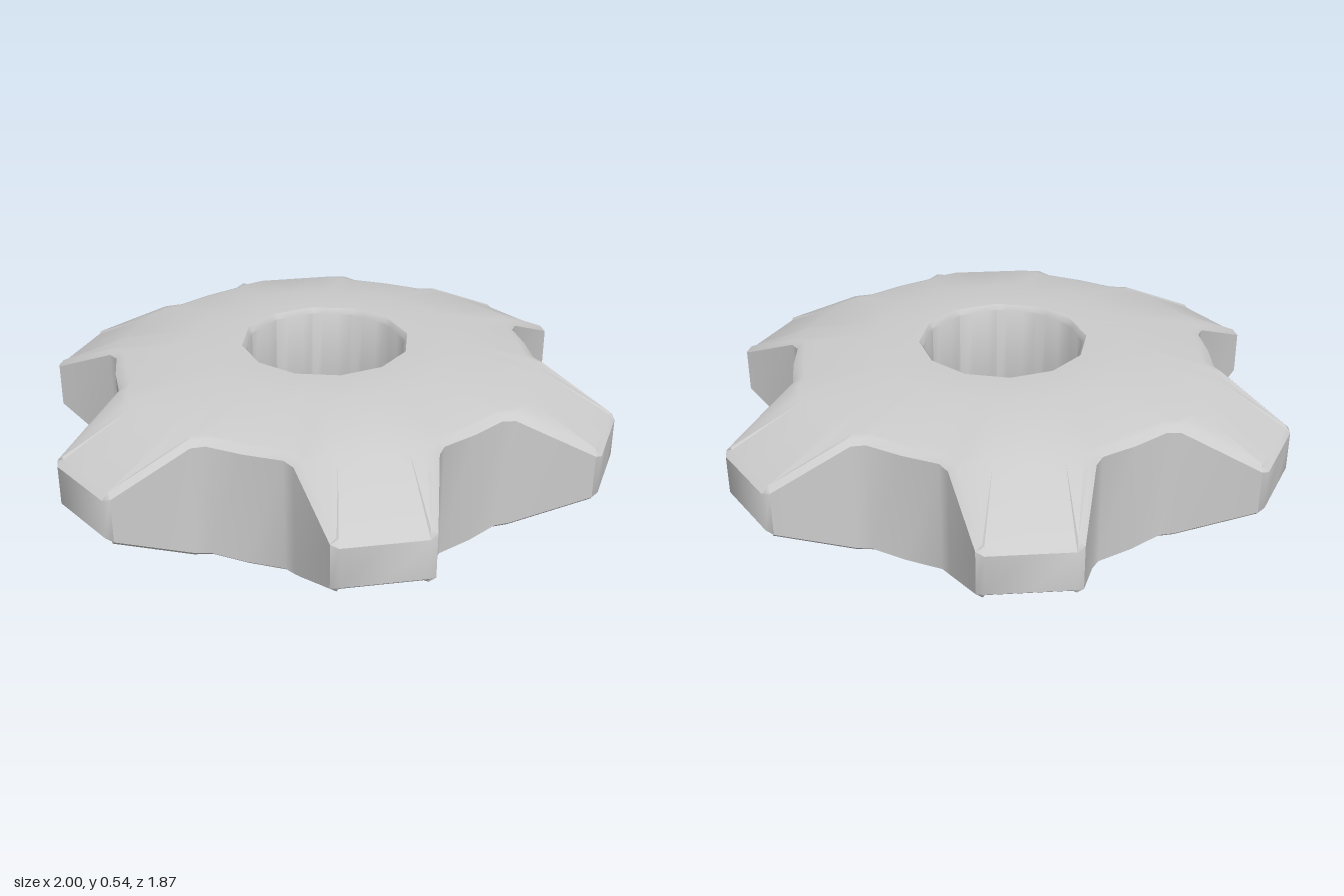
import * as THREE from 'three';
import { toCreasedNormals } from 'three/addons/utils/BufferGeometryUtils.js';

const TEETH = 6;
const MID_Y = 0.27;

// Half a tooth from its axis to the middle of the gap:
// rim [along, across, half height] and the shoulder on the face [along, across, half height]
const HALF = [
  { rim: [1.0, 0, 0.068], face: [0.73, 0, 0.212] },
  { rim: [1.0, 0.135, 0.068], face: [0.73, 0.09, 0.212] },
  { rim: [0.985, 0.16, 0.076], face: [0.73, 0.13, 0.212] },
  { rim: [0.73, 0.225, 0.192], face: [0.7, 0.19, 0.214] },
  { rim: [0.69, 0.25, 0.195], face: [0.66, 0.225, 0.217] },
  { rim: [0.632, 0.365, 0.195], face: [0.6, 0.346, 0.217] },
];

// Point at the given angle on a twelve-sided ring
function onRing(angle, radius, h) {
  const step = Math.PI / 6;
  const local = angle - Math.floor(angle / step) * step - step / 2;
  const r = (radius * Math.cos(step / 2)) / Math.cos(local);
  return [r * Math.cos(angle), h, r * Math.sin(angle)];
}

// Turn a tooth-space point to its place round the wheel
function turn([u, v, h], angle) {
  const c = Math.cos(angle), s = Math.sin(angle);
  return [u * c - v * s, h, u * s + v * c];
}

function buildWheel() {
  // Mirror the half tooth, then repeat it round the wheel
  const flip = ([u, v, h]) => [u, -v, h];
  const tooth = [
    ...HALF.slice(1, 5).reverse().map((p) => ({ rim: flip(p.rim), face: flip(p.face) })),
    ...HALF,
  ];
  const columns = [];
  for (let t = 0; t < TEETH; t++) {
    const a = (t * Math.PI * 2) / TEETH;
    for (const p of tooth) columns.push({ rim: turn(p.rim, a), face: turn(p.face, a) });
  }

  // One closed cross-section per column: bore, flat hub, shoulder, bevel, rim, and the same below
  const n = columns.length;
  const sections = columns.map(({ rim, face }, j) => {
    const angle = Math.atan2(rim[2], rim[0]);
    const prev = columns[(j + n - 1) % n].rim, next = columns[(j + 1) % n].rim;
    const dx = next[0] - prev[0], dz = next[2] - prev[2];
    const k = 0.022 / Math.hypot(dx, dz);
    const bevel = [rim[0] - dz * k, rim[1] + 0.018, rim[2] + dx * k];
    const upper = [
      onRing(angle, 0.278, 0.252),
      onRing(angle, 0.292, 0.27),
      onRing(angle, 0.46, 0.27),
      face,
      bevel,
      rim,
    ];
    const lower = upper.map(([x, y, z]) => [x, -y, z]).reverse();
    return [...upper, ...lower];
  });

  // Skin the sections into a closed loop
  const m = sections[0].length;
  const index = [];
  for (let j = 0; j < n; j++) {
    for (let i = 0; i < m; i++) {
      const j2 = (j + 1) % n, i2 = (i + 1) % m;
      const a = j * m + i, b = j2 * m + i, c = j2 * m + i2, d = j * m + i2;
      index.push(a, b, c, a, c, d);
    }
  }
  const geometry = new THREE.BufferGeometry();
  geometry.setAttribute('position', new THREE.Float32BufferAttribute(sections.flat(2), 3));
  geometry.setIndex(index);
  return toCreasedNormals(geometry, 0.75);
}

export function createModel() {
  const group = new THREE.Group();
  group.name = 'gear';
  const wheel = new THREE.Mesh(buildWheel(), new THREE.MeshStandardMaterial({ color: 0xcccccc }));
  wheel.name = 'toothedWheel';
  wheel.position.y = MID_Y;
  group.add(wheel);
  return group;
}
